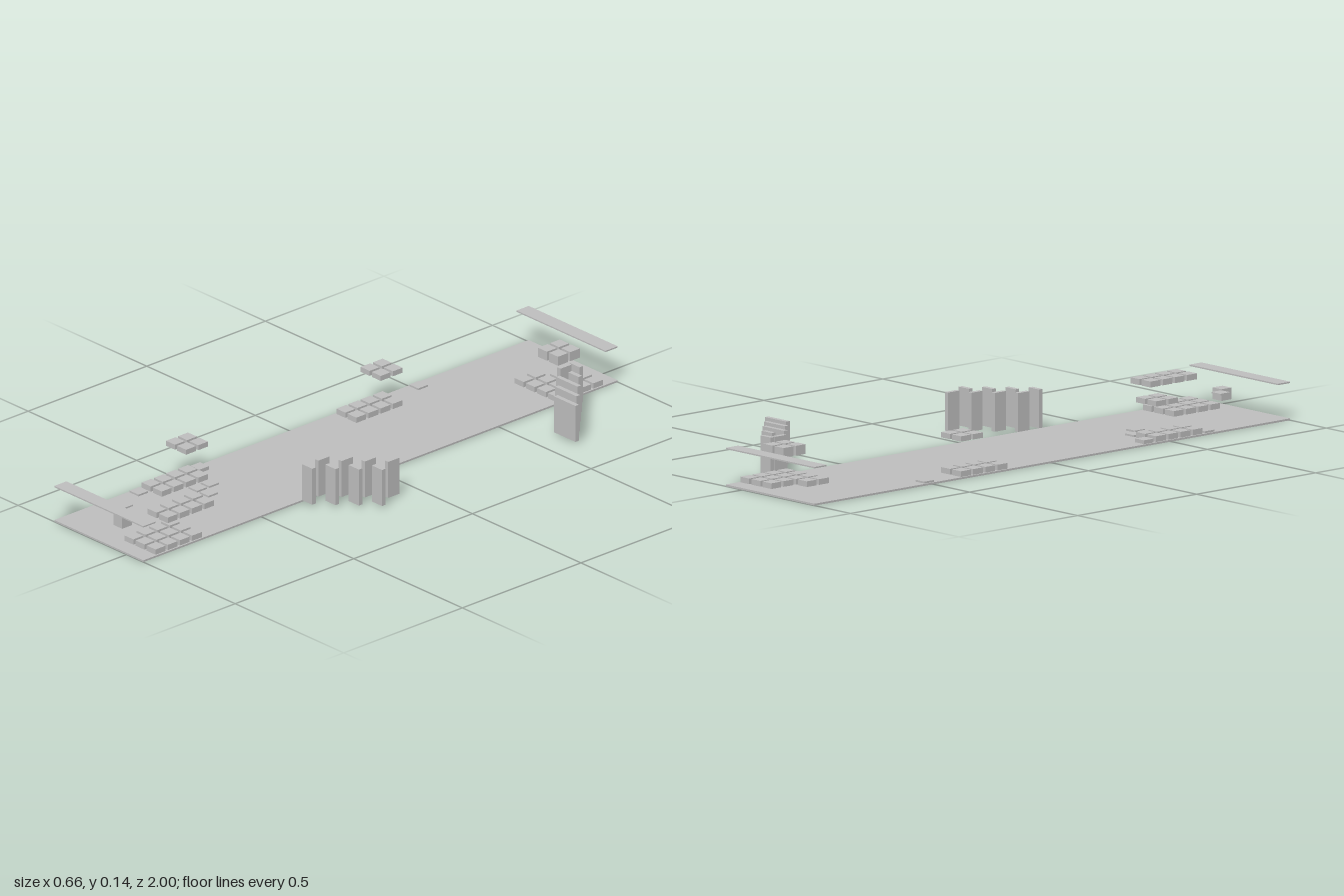
import * as THREE from 'three';

const P = 2 / 39; // grid pitch

export function createModel() {
  const model = new THREE.Group();
  model.name = 'gridFloorPlan';
  const grey = new THREE.MeshStandardMaterial({ color: 0xc0c0c0 });
  grey.name = 'lightGrey';

  // Box given by its min and max on each axis
  function box(name, x0, x1, y0, y1, z0, z1) {
    const mesh = new THREE.Mesh(new THREE.BoxGeometry(x1 - x0, y1 - y0, z1 - z0), grey);
    mesh.name = name;
    mesh.position.set((x0 + x1) / 2, (y0 + y1) / 2, (z0 + z1) / 2);
    model.add(mesh);
  }

  // Tile on grid column i (0 to 7) and row j (-19 to 19)
  const h = P * 0.4;
  function tile(name, i, j, y0, y1) {
    const x = (i - 6) * P, z = j * P;
    box(name, x - h, x + h, y0, y1, z - h, z + h);
  }
  function tiles(name, i0, i1, j0, j1, y0, y1) {
    for (let i = i0; i <= i1; i++) for (let j = j0; j <= j1; j++) tile(name, i, j, y0, y1);
  }

  // Floor slab and raised end beams
  const left = -6.5 * P, right = 1.5 * P, F = 0.006;
  box('floor', left, right, 0, F, -1, 1);
  box('frontBeam', left, right, 0.118, 0.1225, 1 - P, 1);
  box('backBeam', left, right, 0.118, 0.1225, -1, -1 + P);

  // Low tiles standing on the floor
  const low = 0.024;
  tiles('lowTile', 0, 1, -7, -4, F, low);
  tiles('lowTile', 0, 1, 9, 12, F, low);
  tile('lowTile', 0, 8, F, 0.018);
  tiles('lowTile', 5, 7, 15, 18, F, low);
  tiles('lowTile', 5, 7, -18, -17, F, low);
  tiles('lowTile', 4, 7, -16, -15, F, low);

  // Thin floor tiles
  for (const [i, j] of [[0, -10], [0, 13], [2, 9], [2, 10], [3, 10]]) tile('thinTile', i, j, F, 0.012);

  // Floating tiles
  tiles('upperTile', 0, 1, -7, -6, 0.118, 0.135);
  tiles('upperTile', 0, 1, 9, 10, 0.118, 0.135);
  tiles('upperTile', 6, 7, 14, 17, 0.098, 0.117);
  tiles('upperTile', 5, 6, -17, -16, 0.098, 0.129);
  tile('floatingBlock', 4, 18, 0.043, 0.08);
  tile('floatingPlate', 3, 17, 0.075, 0.08);

  // Upright panels: stepped pairs near the front
  const T = 0.129, t = 0.015, L = 0.047;
  for (let k = 0; k < 4; k++) {
    const x = right + k * P, z = 0.316 - k * P;
    box('crossPanel', x, x + L, F, T, z, z + t);
    box('sidePanel', x, x + t, F, T, z - 0.087, z - 0.087 + L);
  }

  // Upright panels: fan near the back, as [start column, width in columns]
  [[0, 1], [1, 1], [1, 2], [2, 2], [3, 2]].forEach(([c, w], k) => {
    const x = right + c * P, z = -0.811 + k * P;
    box('backPanel', x, x + w * P - 0.004, F, T, z, z + t);
  });
  box('backSidePanel', right, right + t, F, T, -0.792, -0.745);

  return model;
}
